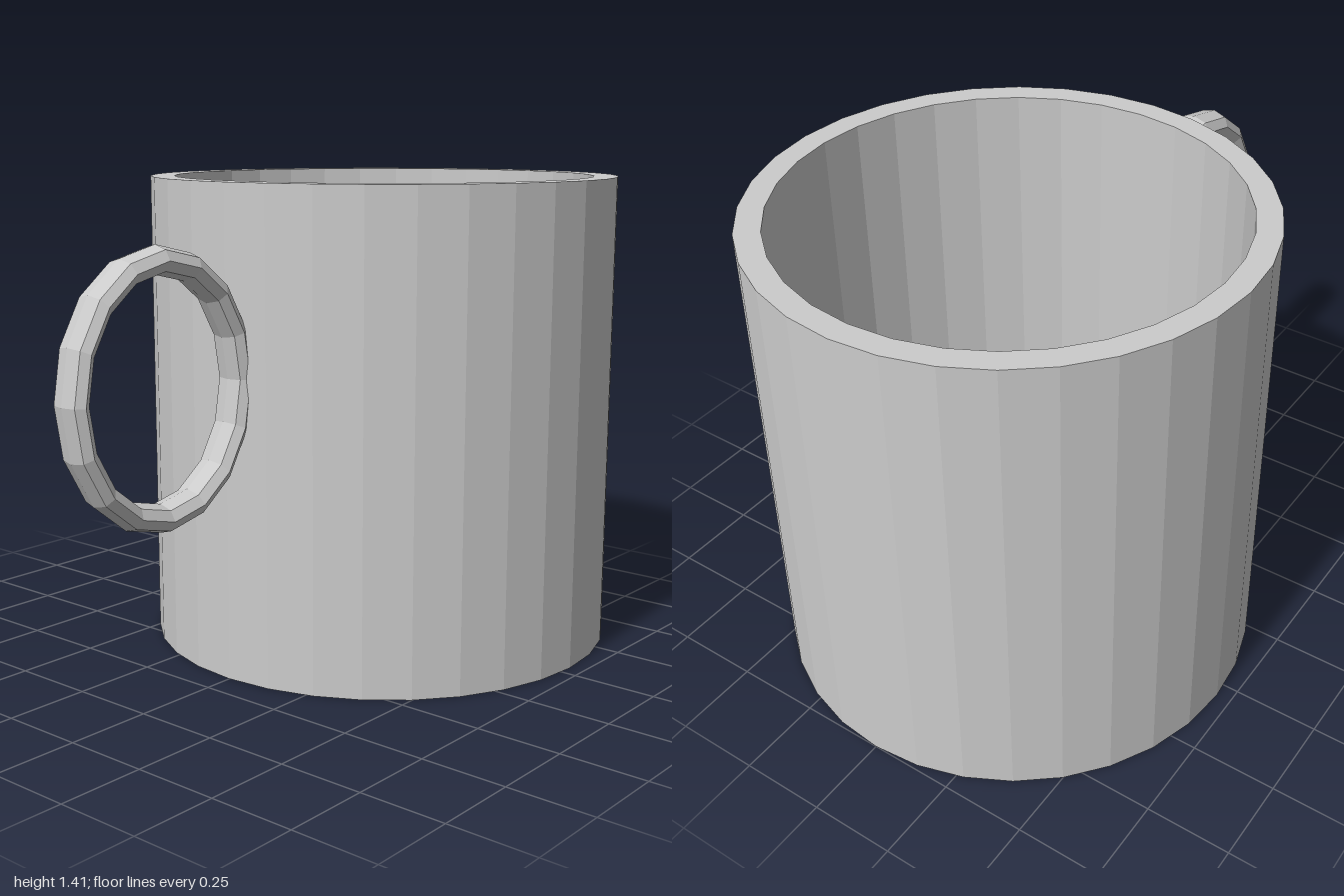
import * as THREE from 'three';

export function createModel() {
  const group = new THREE.Group();
  const material = new THREE.MeshStandardMaterial({ color: 0xcccccc, flatShading: true });

  // Hollow cup: base, outer wall, rim, inner wall and floor as one profile
  const outer = 0.706, inner = 0.635, height = 1.415, floor = 0.07;
  const profile = [
    [0, 0], [outer, 0], [outer, height], [inner, height], [inner, floor], [0, floor],
  ].map(([r, y]) => new THREE.Vector2(r, y));
  const cup = new THREE.Mesh(new THREE.LatheGeometry(profile, 32), material);
  cup.name = 'cup';
  cup.position.x = 0.294;
  group.add(cup);

  // Oval ring handle, turned slightly and sunk into the wall
  const handle = new THREE.Mesh(new THREE.TorusGeometry(1, 0.115, 8, 16), material);
  handle.name = 'handle';
  handle.scale.set(0.287, 0.345, 0.5);
  handle.rotation.y = -0.036;
  handle.position.set(-0.68, 0.88, 0.011);
  group.add(handle);

  return group;
}
